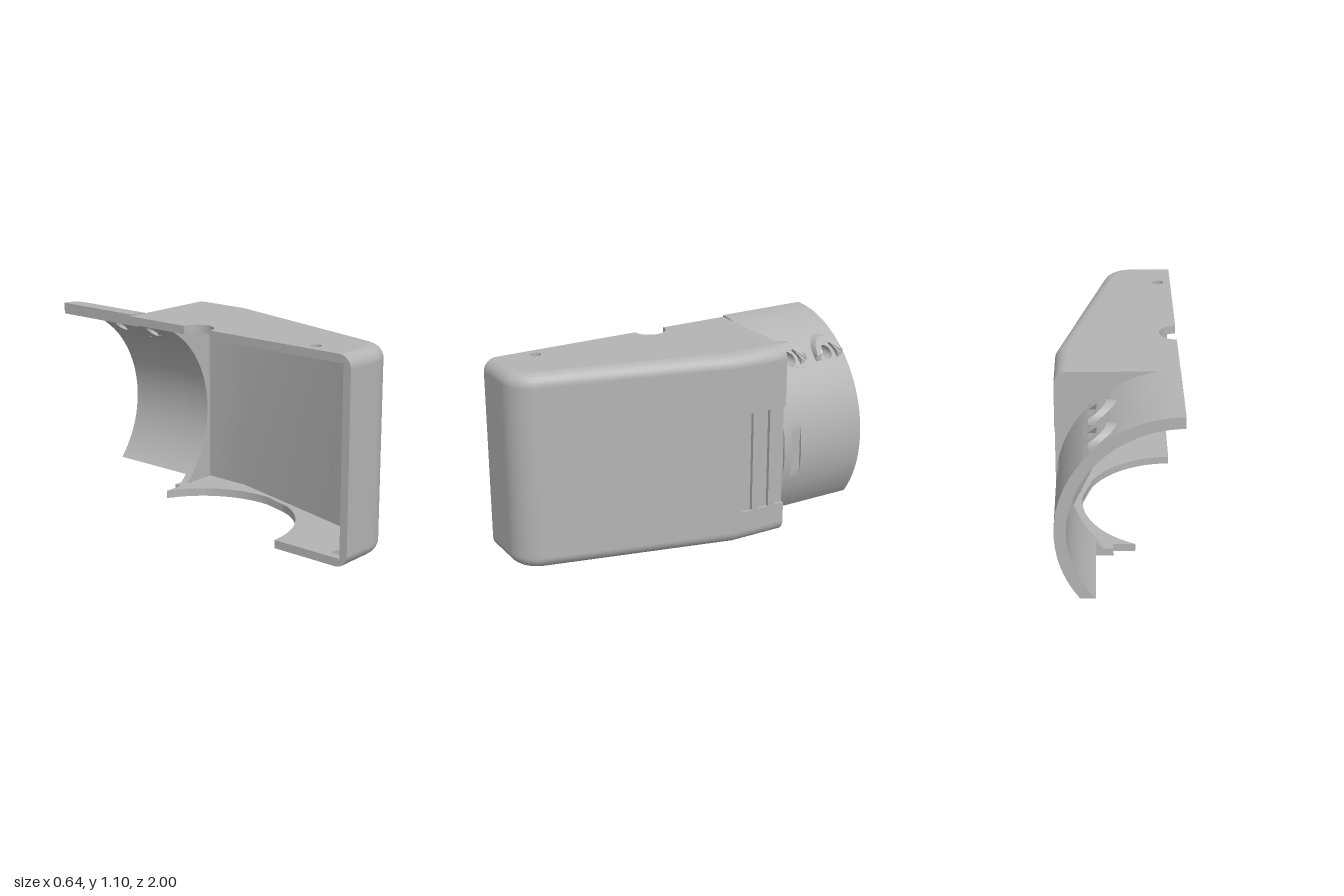
import * as THREE from 'three';
import { toCreasedNormals } from 'three/addons/utils/BufferGeometryUtils.js';

const H = 1.09, F = 0.07, T = 0.045;        // housing height, edge fillet, wall thickness
const X0 = -0.32, BACK = -0.475;            // open side plane, back plane
const NY = 0.465, RO = 0.635, RI = 0.574;   // neck axis height, outer and inner radius

// Plan outline of the housing, inset by d, as [x, z] from the open side round to the back
function outline(d, back = BACK) {
  const pts = [[X0, 1 - d]], end = 0.243;
  for (let i = 0; i <= 10; i++) {
    const a = Math.PI / 2 + (end - Math.PI / 2) * i / 10;
    pts.push([-0.1 + (0.17 - d) * Math.cos(a), 0.83 + (0.17 - d) * Math.sin(a)]);
  }
  pts.push([0.32 - d, -0.16 - 0.121 * d], [0.32 - d, back]);
  return pts;
}

// Surface through outlines at given [inset, height] levels
function loft(levels, flip, skip = () => false, back = BACK) {
  const pos = [], idx = [];
  let n = 0;
  for (const [d, y] of levels) {
    const row = outline(d, back);
    n = row.length;
    for (const [x, z] of row) pos.push(x, y, z);
  }
  for (let j = 0; j < levels.length - 1; j++) {
    for (let i = 0; i < n - 1; i++) {
      if (skip(i, j, n)) continue;
      const a = j * n + i, b = a + 1, c = a + n, e = c + 1;
      if (flip) idx.push(a, c, b, b, c, e);
      else idx.push(a, b, c, b, e, c);
    }
  }
  const g = new THREE.BufferGeometry();
  g.setAttribute('position', new THREE.Float32BufferAttribute(pos, 3));
  g.setIndex(idx);
  g.computeVertexNormals();
  return g;
}

const extrude = (shape, depth) =>
  new THREE.ExtrudeGeometry(shape, { depth, bevelEnabled: false, curveSegments: 32 });
const shapeOf = pts => new THREE.Shape(pts.map(p => new THREE.Vector2(p[0], p[1])));
const circle = (x, y, r) => new THREE.Path().absarc(x, y, r, 0, Math.PI * 2, false);
const rect = (u0, u1, v0, v1) => [[u0, v0], [u1, v0], [u1, v1], [u0, v1]];
const neckX = (y, r) => X0 + Math.sqrt(Math.max(0, r * r - (y - NY) ** 2));

// Slice of the neck ring between two heights, optionally cut flat at xMax
function neckSlice(y0, y1, z0, z1, xMax = 1) {
  const pts = [];
  for (const [r, dir] of [[RO, 1], [RI, -1]]) {
    const a0 = Math.asin((y0 - NY) / r), a1 = Math.asin(Math.min(1, (y1 - NY) / r));
    for (let i = 0; i <= 32; i++) {
      const t = dir > 0 ? i / 32 : 1 - i / 32, a = a0 + (a1 - a0) * t;
      pts.push([Math.min(xMax, X0 + r * Math.cos(a)), NY + r * Math.sin(a)]);
    }
  }
  return toCreasedNormals(extrude(shapeOf(pts), z1 - z0).translate(0, 0, z0), 0.5);
}

// Plate drawn in (-z, y), with back and front faces moved to x = back(y) and front(y)
function bentPlate(shape, back, front) {
  const g = extrude(shape, 1).rotateY(Math.PI / 2), p = g.attributes.position;
  for (let i = 0; i < p.count; i++) {
    p.setX(i, (p.getX(i) > 0.5 ? front : back)(p.getY(i)));
  }
  g.computeVertexNormals();
  return toCreasedNormals(g, 0.5);
}

export function createModel() {
  const group = new THREE.Group();
  const grey = new THREE.MeshStandardMaterial({ color: 0xb4b4b4, side: THREE.DoubleSide });
  grey.name = 'grey plastic';
  const add = (name, geometry) => {
    const m = new THREE.Mesh(geometry, grey);
    m.name = name;
    group.add(m);
  };

  // Outer skin with rounded top and bottom edges; the flat side is left for the slotted panel
  const levels = [];
  for (let i = 0; i <= 6; i++) {
    const a = Math.PI / 2 * i / 6;
    levels.push([F * (1 - Math.sin(a)), F * (1 - Math.cos(a))]);
  }
  const upper = levels.map(([d, y]) => [d, H - y]).reverse();
  add('outerShell', loft([...levels, ...upper], false, (i, j, n) => j === 6 && i === n - 2));
  add('innerShell', toCreasedNormals(
    loft([[F, T], [T, T], [T, H - T], [F, H - T]], true, undefined, -0.43), 0.5));

  // Rim of the front wall on the open side
  const rim = new THREE.Shape();
  rim.moveTo(-1 + F, 0);
  rim.absarc(-1 + F, F, F, -Math.PI / 2, -Math.PI, true);
  rim.lineTo(-1, H - F);
  rim.absarc(-1 + F, H - F, F, Math.PI, Math.PI / 2, true);
  for (const [u, v] of [[-1 + F, H - T], [-1 + T, H - T], [-1 + T, T], [-1 + F, T]]) rim.lineTo(u, v);
  const rimGeo = new THREE.ShapeGeometry(rim).rotateY(Math.PI / 2).translate(X0, 0, 0);
  const index = rimGeo.index.array;
  for (let i = 0; i < index.length; i += 3) [index[i], index[i + 1]] = [index[i + 1], index[i]];
  rimGeo.computeVertexNormals();
  add('frontRim', rimGeo);

  // Top plate with cable notch and screw hole
  const plan = outline(F).map(([x, z]) => [x, -z]);
  const top = shapeOf(plan);
  top.lineTo(X0, -BACK);
  top.lineTo(X0, 0.08);
  top.absarc(X0, -0.01, 0.09, Math.PI / 2, -Math.PI / 2, true);
  top.holes.push(circle(-0.25, -0.735, 0.03));
  add('topPlate', toCreasedNormals(extrude(top, T).rotateX(-Math.PI / 2).translate(0, H - T, 0), 0.5));

  // Floor plate with the large round cutout
  const floor = shapeOf(plan);
  floor.lineTo(0.02, -BACK);
  floor.lineTo(0.02, 0.43);
  floor.absarc(X0, -0.03, 0.51, Math.asin(0.46 / 0.51), -Math.PI / 2, true);
  floor.holes.push(circle(-0.25, -0.895, 0.03));
  add('floorPlate', toCreasedNormals(extrude(floor, T).rotateX(-Math.PI / 2), 0.5));

  // Back wall around the neck bore
  const wall = new THREE.Shape();
  wall.moveTo(neckX(0, RI), 0);
  wall.lineTo(0.32 - F, 0);
  wall.absarc(0.32 - F, F, F, -Math.PI / 2, 0, false);
  for (const [x, y] of [[0.3, F], [0.3, H - F], [0.32, H - F]]) wall.lineTo(x, y);
  wall.absarc(0.32 - F, H - F, F, 0, Math.PI / 2, false);
  wall.lineTo(X0, H);
  wall.lineTo(X0, NY + RI);
  wall.absarc(X0, NY, RI, Math.PI / 2, -Math.asin(NY / RI), true);
  add('backWall', toCreasedNormals(extrude(wall, T).translate(0, 0, BACK), 0.5));

  // Flat side panel with grip slots, the last one open to the back
  const panel = shapeOf([[0.16, F], [-BACK, F], [-BACK, 0.18], [0.417, 0.18],
    [0.417, 0.75], [-BACK, 0.75], [-BACK, H - F], [0.16, H - F]]);
  for (const u of [0.203, 0.31]) panel.holes.push(shapeOf(rect(u, u + 0.063, 0.18, 0.75)));
  add('slottedPanel', extrude(panel, 0.02).rotateY(Math.PI / 2).translate(0.3, 0, 0));
  add('slotBacking', extrude(shapeOf(rect(0.17, -BACK, F, H - F)), 0.02)
    .rotateY(Math.PI / 2).translate(0.28, 0, 0));

  // Neck: lower part with grip cuts, band with screw holes, upper part
  const Y0 = 0.87, Y1 = 0.99;
  for (const [z0, z1, xMax] of [[-0.48, BACK, 0.3], [-0.53, -0.48, 1], [-0.59, -0.53, 0.3], [-1, -0.59, 1]]) {
    add('neckLower', neckSlice(0.085, Y0, z0, z1, xMax));
  }
  add('neckUpper', neckSlice(Y1, 1.1, -1, BACK));

  for (const [u, u0, u1] of [[0.64, -BACK, 0.765], [0.89, 0.765, 1]]) {
    const band = [];
    for (let i = 0; i <= 6; i++) band.push([u1, Y0 + (Y1 - Y0) * i / 6]);
    for (let i = 6; i >= 0; i--) band.push([u0, Y0 + (Y1 - Y0) * i / 6]);
    const plate = shapeOf(band);
    plate.holes.push(circle(u, 0.93, 0.032));
    add('neckScrewBand', bentPlate(plate, y => neckX(y, RI), y => neckX(y, RO)));

    // Arched screw boss with a hexagonal nut seat
    const boss = new THREE.Shape();
    boss.moveTo(u + 0.088, 0.9);
    boss.absarc(u, 0.92, 0.09, 0, Math.PI, false);
    for (const [du, v] of [[-0.088, 0.9], [-0.055, 0.9], [-0.055, 0.935], [-0.03, 0.98],
      [0.03, 0.98], [0.055, 0.935], [0.055, 0.9]]) boss.lineTo(u + du, v);
    add('screwBoss', bentPlate(boss, y => neckX(y, 0.6),
      y => Math.max(neckX(y, RO), Math.min(0.145, neckX(y, RO) + 0.05))));
  }
  return group;
}
